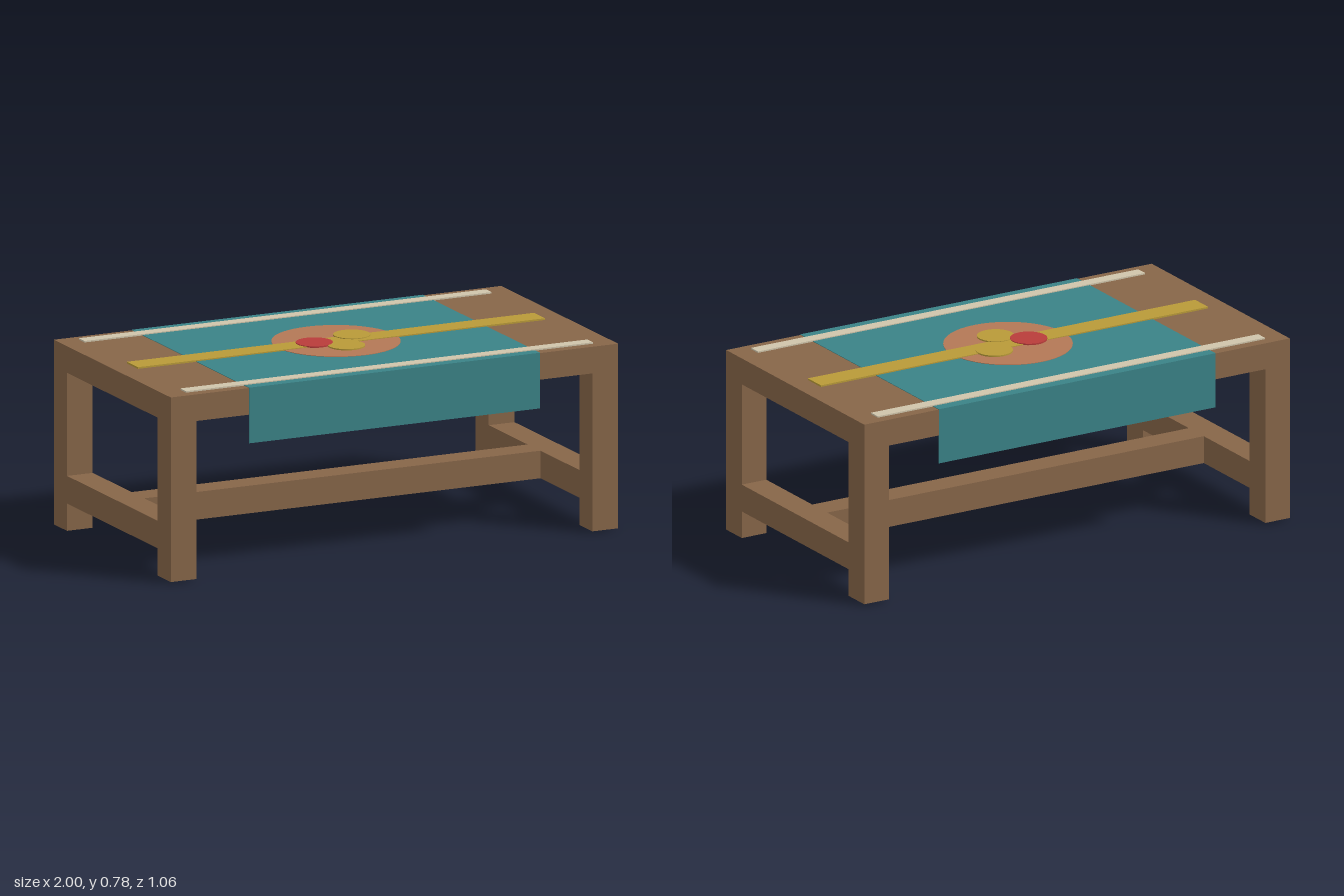
import * as THREE from 'three';

export function createModel() {
  const root = new THREE.Group();
  root.name = 'decoratedTable';

  const material = (name, color) => {
    const m = new THREE.MeshStandardMaterial({ color });
    m.name = name;
    return m;
  };
  const wood = material('wood brown', 0x866548);
  const teal = material('cloth teal', 0x3a8286);
  const gold = material('gold', 0xb89a38);
  const cream = material('cream', 0xcfc4aa);
  const red = material('red', 0xb83c3a);
  const clay = material('terracotta', 0xb37856);

  const add = (name, geometry, mat, x, y, z) => {
    const mesh = new THREE.Mesh(geometry, mat);
    mesh.name = name;
    mesh.position.set(x, y, z);
    root.add(mesh);
  };
  // Box given by its centre in x and z and its bottom and top heights
  const box = (name, mat, w, d, y0, y1, x = 0, z = 0) =>
    add(name, new THREE.BoxGeometry(w, y1 - y0, d), mat, x, (y0 + y1) / 2, z);
  const disc = (name, mat, r, y0, y1, x = 0, z = 0, sides = 32) =>
    add(name, new THREE.CylinderGeometry(r, r, y1 - y0, sides), mat, x, (y0 + y1) / 2, z);

  // Solid top slab
  box('tableTop', wood, 2, 1.06, 0.658, 0.768);

  // Legs with small foot pads
  for (const sx of [-1, 1]) {
    for (const sz of [-1, 1]) {
      box('leg', wood, 0.115, 0.12, 0.005, 0.658, sx * 0.9425, sz * 0.47);
      box('footPad', wood, 0.05, 0.05, 0, 0.005, sx * 0.9425, sz * 0.48);
    }
    // End stretcher between a pair of legs
    box('endStretcher', wood, 0.115, 0.82, 0.118, 0.232, sx * 0.9425);
  }
  // Long stretcher joining the two ends
  box('longStretcher', wood, 1.77, 0.115, 0.118, 0.232);

  // Cloth over the top, hanging down at front and back
  box('clothTop', teal, 1.3, 1.064, 0.768, 0.77);
  for (const sz of [-1, 1]) {
    box('clothDrop', teal, 1.3, 0.004, 0.54, 0.77, 0, sz * 0.53);
    box('edgeStrip', cream, 1.82, 0.052, 0.768, 0.774, 0, sz * 0.46);
  }

  // Centre decoration
  disc('plate', clay, 0.26, 0.768, 0.772, 0, 0, 48);
  box('runner', gold, 1.82, 0.1, 0.768, 0.775);
  disc('redDisc', red, 0.075, 0.771, 0.778, -0.097, 0);
  disc('backGoldDisc', gold, 0.075, 0.771, 0.778, 0.095, -0.05);
  disc('frontGoldDisc', gold, 0.075, 0.771, 0.7775, 0, 0.095);

  return root;
}
